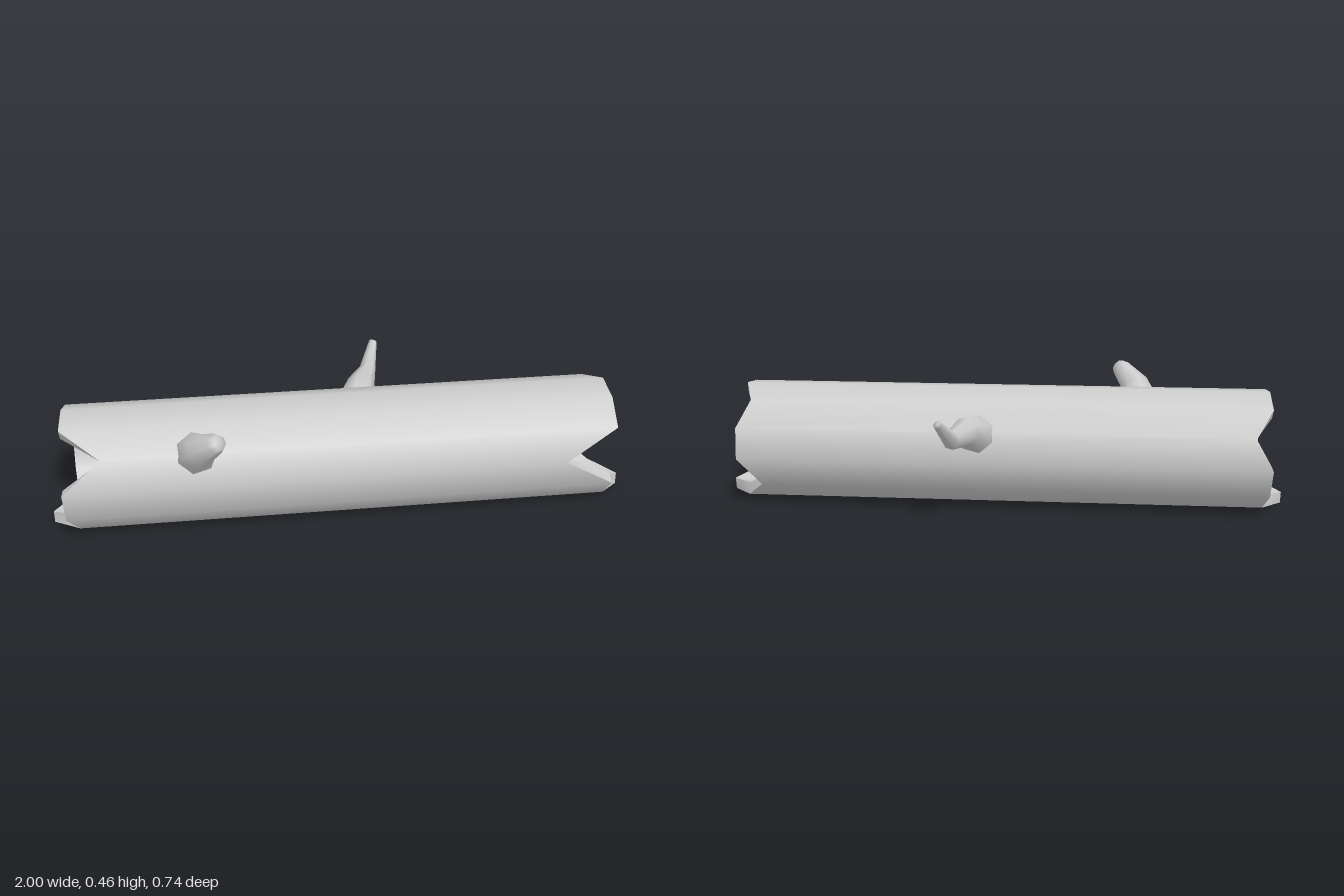
import * as THREE from 'three';

const SIDES = 12;
const CENTER = new THREE.Vector3(0, 0.212, 0.08);
const OUTER = 0.211, INNER = 0.169;

// Where each lengthwise edge of the log stops, going round from the top towards the back
const RIGHT_END = [0.915, 0.875, 0.915, 0.915, 0.84, 0.915, 1.0, 0.915, 0.915, 0.74, 0.915, 0.915];
const LEFT_END = [-0.93, -0.93, -0.87, -0.93, -0.93, -0.92, -1.0, -0.9, -0.93, -0.93, -0.8, -0.93];

const material = () => new THREE.MeshStandardMaterial({ color: 0xcccccc });

function radial(k) {
  const a = THREE.MathUtils.degToRad(7 + (360 / SIDES) * k);
  return new THREE.Vector3(0, Math.cos(a), -Math.sin(a));
}

function logPoint(k, radius, ends) {
  const p = radial(k).multiplyScalar(radius).add(CENTER);
  p.x = ends[k % SIDES];
  return p;
}

function makeGeometry(points, index, normals) {
  const g = new THREE.BufferGeometry().setFromPoints(points);
  g.setIndex(index);
  if (normals) {
    g.setAttribute('normal', new THREE.Float32BufferAttribute(normals.flatMap((n) => n.toArray()), 3));
  } else {
    g.computeVertexNormals();
  }
  return g;
}

// Long smooth wall: direction +1 faces outwards, -1 faces the hollow
function wall(radius, direction) {
  const points = [], normals = [], index = [];
  for (let k = 0; k <= SIDES; k++) {
    points.push(logPoint(k, radius, LEFT_END), logPoint(k, radius, RIGHT_END));
    const n = radial(k).multiplyScalar(direction);
    normals.push(n, n);
    if (k === SIDES) continue;
    const a = 2 * k, b = a + 1, c = a + 2, d = a + 3;
    if (direction > 0) index.push(a, b, d, a, d, c);
    else index.push(a, d, b, a, c, d);
  }
  return makeGeometry(points, index, normals);
}

// Jagged broken rim joining the outer and inner walls
function rim(ends, direction) {
  const points = [], index = [];
  for (let k = 0; k < SIDES; k++) {
    const i = points.length;
    points.push(
      logPoint(k, OUTER, ends), logPoint(k + 1, OUTER, ends),
      logPoint(k + 1, INNER, ends), logPoint(k, INNER, ends)
    );
    if (direction > 0) index.push(i, i + 2, i + 1, i, i + 3, i + 2);
    else index.push(i, i + 1, i + 2, i, i + 2, i + 3);
  }
  return makeGeometry(points, index);
}

// Bent tapering stub; each station is [x, y, z, radius]
function branch(stations, sides = 7) {
  const path = stations.map(([x, y, z]) => new THREE.Vector3(x, y, z));
  const points = [], index = [];
  const up = new THREE.Vector3(1, 0, 0);
  path.forEach((p, i) => {
    const before = path[Math.max(i - 1, 0)], after = path[Math.min(i + 1, path.length - 1)];
    const tangent = after.clone().sub(before).normalize();
    const u = up.clone().addScaledVector(tangent, -up.dot(tangent)).normalize();
    const v = tangent.clone().cross(u);
    for (let j = 0; j < sides; j++) {
      const a = (j / sides) * Math.PI * 2, r = stations[i][3];
      points.push(p.clone().addScaledVector(u, Math.cos(a) * r).addScaledVector(v, Math.sin(a) * r));
      if (i === 0) continue;
      const j2 = (j + 1) % sides, lo = (i - 1) * sides, hi = i * sides;
      index.push(lo + j, lo + j2, hi + j2, lo + j, hi + j2, hi + j);
    }
  });
  // Closed tip
  const last = (path.length - 1) * sides;
  points.push(path[path.length - 1].clone());
  for (let j = 0; j < sides; j++) index.push(last + j, last + ((j + 1) % sides), points.length - 1);
  return makeGeometry(points, index);
}

export function createModel() {
  const model = new THREE.Group();
  model.name = 'hollowLog';
  const add = (name, geometry) => {
    const mesh = new THREE.Mesh(geometry, material());
    mesh.name = name;
    model.add(mesh);
  };

  add('outerBark', wall(OUTER, 1));
  add('innerHollow', wall(INNER, -1));
  add('leftBrokenRim', rim(RIGHT_END, 1));
  add('rightBrokenRim', rim(LEFT_END, -1));

  add('frontBranch', branch([
    [-0.49, 0.305, 0.2, 0.073],
    [-0.49, 0.335, 0.23, 0.07],
    [-0.475, 0.385, 0.293, 0.051],
    [-0.425, 0.436, 0.338, 0.034],
    [-0.412, 0.447, 0.35, 0.024]
  ]));
  add('backBranch', branch([
    [0.075, 0.28, -0.08, 0.068],
    [0.08, 0.295, -0.115, 0.065],
    [0.1, 0.318, -0.17, 0.05],
    [0.138, 0.314, -0.278, 0.031],
    [0.17, 0.388, -0.363, 0.015]
  ]));
  return model;
}
